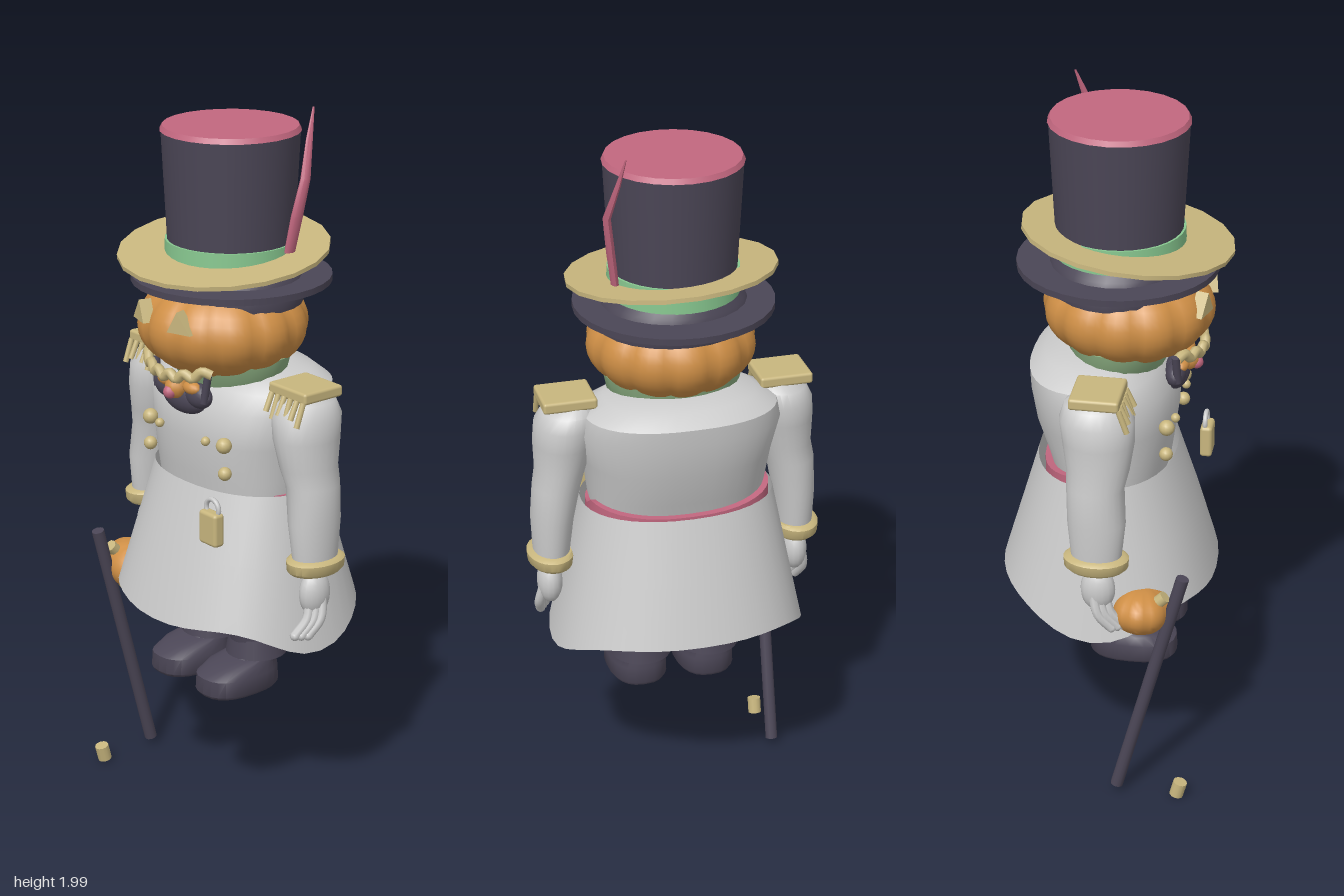
import * as THREE from 'three';
import { toCreasedNormals } from 'three/addons/utils/BufferGeometryUtils.js';
import { RoundedBoxGeometry } from 'three/addons/geometries/RoundedBoxGeometry.js';

const makeMaterial = (name, color, side = THREE.FrontSide) => {
  const m = new THREE.MeshStandardMaterial({ color, side });
  m.name = name;
  return m;
};

// Stack of superellipse rings, bottom to top: [y, cx, cz, rx, rz]
function loft(rings, { sides = 24, power = 2, capped = true, rule = null } = {}) {
  const pos = [], idx = [];
  const bend = (v) => Math.sign(v) * Math.abs(v) ** (2 / power);
  rings.forEach(([y, cx, cz, rx, rz], i) => {
    for (let j = 0; j < sides; j++) {
      const a = (j / sides) * Math.PI * 2;
      pos.push(cx + rx * bend(Math.sin(a)), y + (rule ? rule(i, a) : 0), cz + rz * bend(Math.cos(a)));
    }
  });
  const at = (i, j) => i * sides + (j % sides);
  for (let i = 0; i < rings.length - 1; i++)
    for (let j = 0; j < sides; j++)
      idx.push(at(i, j), at(i, j + 1), at(i + 1, j + 1), at(i, j), at(i + 1, j + 1), at(i + 1, j));
  if (capped) {
    const n = pos.length / 3, last = rings.length - 1;
    for (const [y, cx, cz] of [rings[0], rings[last]]) pos.push(cx, y, cz);
    for (let j = 0; j < sides; j++)
      idx.push(n, at(0, j + 1), at(0, j), n + 1, at(last, j), at(last, j + 1));
  }
  const g = new THREE.BufferGeometry();
  g.setAttribute('position', new THREE.Float32BufferAttribute(pos, 3));
  g.setIndex(idx);
  return toCreasedNormals(g, 0.75);
}

// Squashed sphere with shallow vertical ribs
function pumpkin(rx, ry, rz, lobes) {
  const g = new THREE.SphereGeometry(1, lobes * 6, 20);
  const p = g.attributes.position;
  for (let i = 0; i < p.count; i++) {
    const x = p.getX(i), y = p.getY(i), z = p.getZ(i);
    const k = 0.945 + 0.055 * Math.abs(Math.cos((Math.atan2(x, z) * lobes) / 2)) ** 0.7;
    p.setXYZ(i, x * k * rx, y * ry, z * k * rz);
  }
  return toCreasedNormals(g, 0.9);
}

export function createModel() {
  const root = new THREE.Group();
  const coat = makeMaterial('coatGrey', 0xcbcbcb);
  const coatShell = makeMaterial('coatShellGrey', 0xcbcbcb, THREE.DoubleSide);
  const dark = makeMaterial('darkCloth', 0x4b4656);
  const gold = makeMaterial('gold', 0xc8b67e);
  const orange = makeMaterial('pumpkinOrange', 0xcf8f46);
  const pink = makeMaterial('pink', 0xc2677f);
  const bandGreen = makeMaterial('bandGreen', 0x88c890);
  const collarGreen = makeMaterial('collarGreen', 0x8db083);

  const add = (name, geo, mat, x = 0, y = 0, z = 0) => {
    const m = new THREE.Mesh(geo, mat);
    m.name = name;
    m.position.set(x, y, z);
    root.add(m);
    return m;
  };
  const cyl = (rt, rb, h, n = 24) => new THREE.CylinderGeometry(rt, rb, h, n);
  const rod = (name, a, b, r, mat) => {
    const from = new THREE.Vector3(...a), d = new THREE.Vector3(...b).sub(from);
    const m = add(name, cyl(r, r, d.length(), 12), mat);
    m.position.copy(from).addScaledVector(d, 0.5);
    m.quaternion.setFromUnitVectors(new THREE.Vector3(0, 1, 0), d.normalize());
    return m;
  };

  // Hat
  add('hatCrown', cyl(0.188, 0.172, 0.315, 32), dark, 0, 1.777, 0.003);
  add('hatTop', cyl(0.184, 0.191, 0.014, 24), pink, 0, 1.94, 0.003);
  add('hatBand', cyl(0.179, 0.181, 0.07, 32), bandGreen, 0, 1.601, 0.003);
  add('goldBrim', cyl(0.29, 0.29, 0.012, 20), gold, 0, 1.61, 0.027).rotation.set(0.12, 0, -0.05);
  add('darkBrim', cyl(0.275, 0.275, 0.018, 32), dark, 0, 1.53, 0);
  add('hatLining', loft([[1.47, 0, 0, 0.21, 0.185], [1.51, 0, 0, 0.213, 0.195],
    [1.55, 0, 0, 0.195, 0.18], [1.575, 0, 0, 0.17, 0.165]]), dark);
  add('feather', loft([[1.62, 0.176, -0.055, 0.011, 0.018], [1.72, 0.19, -0.068, 0.012, 0.02],
    [1.82, 0.203, -0.085, 0.011, 0.016], [1.92, 0.18, -0.118, 0.007, 0.011],
    [2.0, 0.165, -0.145, 0.002, 0.003]], { sides: 8 }), pink);

  // Pumpkin head and carved face
  add('head', pumpkin(0.236, 0.145, 0.236, 12), orange, 0, 1.405, 0.03);
  for (const s of [-1, 1]) {
    const tri = new THREE.Shape([new THREE.Vector2(-0.037, -0.027),
      new THREE.Vector2(0.037, -0.027), new THREE.Vector2(-0.006 * s, 0.032)]);
    const eye = add('eye', new THREE.ExtrudeGeometry(tri, { depth: 0.035, bevelEnabled: false }),
      gold, s * 0.076, 1.457, 0.222);
    eye.rotation.y = s * 0.3;
  }
  const grin = [];
  for (let i = 0; i <= 12; i++) {
    const t = i / 6 - 1;
    grin.push(new THREE.Vector3(t * 0.14, 1.288 + 0.025 * t * t + (i % 2) * 0.016, 0.238 - 0.055 * t * t));
  }
  add('mouth', new THREE.TubeGeometry(new THREE.CatmullRomCurve3(grin), 48, 0.014, 8), gold);

  // Collar and rounded bow
  add('collar', loft([[1.22, 0, 0, 0.14, 0.12], [1.28, 0, 0.01, 0.185, 0.14],
    [1.33, 0, 0.01, 0.195, 0.155]]), collarGreen);
  add('bowBase', new THREE.SphereGeometry(1, 20, 12), dark, 0, 1.215, 0.165).scale.set(0.085, 0.045, 0.035);
  for (const s of [-1, 1]) {
    add('bowLoop', new THREE.SphereGeometry(1, 16, 12), dark, s * 0.065, 1.235, 0.17).scale.set(0.05, 0.035, 0.028);
    add('bowInset', new THREE.SphereGeometry(1, 14, 10), orange, s * 0.055, 1.258, 0.185).scale.set(0.032, 0.018, 0.02);
    rod('bowHook', [s * 0.1, 1.225, 0.18], [s * 0.112, 1.305, 0.175], 0.011, dark);
  }
  add('chin', new THREE.SphereGeometry(0.032, 12, 8), orange, 0, 1.25, 0.195);
  add('bowKnot', new THREE.SphereGeometry(0.019, 12, 8), pink, 0, 1.24, 0.217);

  // Jacket and open skirt
  add('torso', loft([[0.93, 0, -0.01, 0.24, 0.155], [1.0, 0, -0.015, 0.25, 0.17],
    [1.1, 0, -0.025, 0.262, 0.193], [1.2, 0, -0.035, 0.285, 0.197], [1.25, 0, -0.055, 0.27, 0.18],
    [1.285, 0, -0.055, 0.21, 0.14], [1.3, 0, -0.04, 0.13, 0.1]], { power: 2.4, sides: 40 }), coat);
  // Sash peeks out at the rear corners of the waist
  add('waistSash', loft([[0.93, 0, -0.035, 0.258, 0.16], [0.965, 0, -0.035, 0.258, 0.16]], { power: 2.4, sides: 40,
    rule: (i, a) => (i && Math.cos(a) < 0 ? 0.025 * Math.sin(a) ** 2 : 0) }), pink);
  // Hem: lifted at the front corners, hanging at the sides
  const hem = (i, a) => [1, 0.3, 0][i] * (0.015 - 0.015 * Math.cos(a) - 0.075 * Math.sin(a) ** 6
    + (Math.cos(a) > 0 ? 0.02 * Math.sin(2 * a) ** 2 : 0));
  add('coatSkirt', loft([[0.59, 0, -0.018, 0.362, 0.302], [0.78, 0, -0.02, 0.315, 0.25],
    [0.97, 0, -0.025, 0.272, 0.192]], { power: 2.2, sides: 40, capped: false, rule: hem }), coatShell);
  for (const s of [-1, 1])
    add('coatTail', new RoundedBoxGeometry(0.13, 0.38, 0.05, 2, 0.02), coat, s * 0.075, 0.76, -0.135);

  // Buttons and padlock
  for (const s of [-1, 1]) {
    for (const [x, y, r] of [[0.16, 1.115, 0.022], [0.163, 1.035, 0.019], [0.1, 1.115, 0.013]])
      add('button', new THREE.SphereGeometry(r, 14, 10), gold, s * x, y, 0.16 + (0.16 - x) * 0.25);
  }
  add('padlock', new RoundedBoxGeometry(0.072, 0.095, 0.035, 2, 0.01), gold, 0.187, 0.903, 0.226);
  add('padlockShackle', new THREE.TorusGeometry(0.026, 0.007, 8, 20), coat, 0.187, 0.958, 0.222);

  for (const s of [-1, 1]) {
    // Arms, cuffs and hands
    add('sleeve', loft([[0.8, 0.355, 0, 0.05, 0.068], [0.92, 0.35, 0, 0.06, 0.08],
      [1.02, 0.337, -0.005, 0.067, 0.079], [1.07, 0.325, 0, 0.07, 0.086], [1.15, 0.315, 0, 0.083, 0.098],
      [1.21, 0.308, -0.005, 0.086, 0.102], [1.25, 0.298, -0.01, 0.076, 0.085], [1.275, 0.285, -0.01, 0.045, 0.05]]
      .map(([y, x, ...r]) => [y, s * x, ...r]), { sides: 24 }), coat);
    add('cuff', loft([[0.775, s * 0.355, 0, 0.058, 0.078], [0.785, s * 0.357, 0, 0.064, 0.088],
      [0.81, s * 0.357, 0, 0.066, 0.09], [0.818, s * 0.355, 0, 0.058, 0.078]]), gold);
    add('palm', new THREE.SphereGeometry(1, 16, 12), coat, s * 0.36, 0.71, 0.005).scale.set(0.036, 0.066, 0.048);
    for (let f = 0; f < 3; f++) {
      const z = 0.04 - f * 0.015, x = s * (0.36 + f * 0.01);
      const curve = new THREE.CatmullRomCurve3([new THREE.Vector3(x, 0.7, z - 0.015),
        new THREE.Vector3(x + s * 0.01, 0.645, z), new THREE.Vector3(x, 0.6, z + 0.035)]);
      add('finger', new THREE.TubeGeometry(curve, 8, 0.014, 8), coat);
      add('fingertip', new THREE.SphereGeometry(0.014, 8, 6), coat, x, 0.6, z + 0.035);
    }

    // Epaulettes with fringe along the front
    add('epaulette', new RoundedBoxGeometry(0.15, 0.032, 0.135, 2, 0.008), gold, s * 0.305, 1.28, -0.003);
    for (let i = 0; i < 6; i++)
      rod('fringe', [s * (0.245 + i * 0.025), 1.27, 0.062],
        [s * (0.245 + i * 0.025), i % 2 ? 1.205 : 1.22, 0.085], 0.008, gold);

    // Trousers and boots
    const x = s * 0.1;
    add('trouserLeg', loft([[0.46, x, -0.01, 0.072, 0.075], [0.5, x, -0.005, 0.07, 0.078],
      [0.58, x, 0, 0.075, 0.085], [0.92, x, 0, 0.09, 0.1]]), dark);
    add('trouserCuff', cyl(0.078, 0.087, 0.055), dark, x, 0.475, -0.008);
    add('boot', loft([[0.355, x, 0.062, 0.078, 0.118], [0.365, x, 0.063, 0.085, 0.125],
      [0.41, x, 0.063, 0.084, 0.122], [0.433, x, 0.045, 0.076, 0.1], [0.447, x, 0.005, 0.068, 0.073],
      [0.48, x, -0.005, 0.068, 0.068]], { power: 2.5 }), dark);
    add('solePatch', new THREE.BoxGeometry(0.03, 0.006, 0.02), coat, x, 0.354, 0.13);
  }

  // Cane with loose tip, and small lantern pumpkin
  rod('cane', [-0.32, 0.03, 0.05], [-0.32, 0.74, 0.232], 0.018, dark);
  add('caneTip', cyl(0.02, 0.02, 0.046, 12), gold, -0.32, 0.035, 0.228).rotation.x = 0.25;
  add('lantern', pumpkin(0.112, 0.068, 0.085, 8), orange, -0.29, 0.612, 0.115).rotation.z = -0.25;
  add('lanternGrin', new THREE.TorusGeometry(0.05, 0.007, 6, 16, Math.PI), gold, -0.26, 0.61, 0.175)
    .rotation.z = Math.PI;
  rod('lanternStem', [-0.325, 0.65, 0.155], [-0.325, 0.68, 0.185], 0.018, gold);
  rod('lanternVine', [0.26, 0.6, 0.02], [0.27, 0.68, 0.05], 0.018, collarGreen);
  return root;
}
